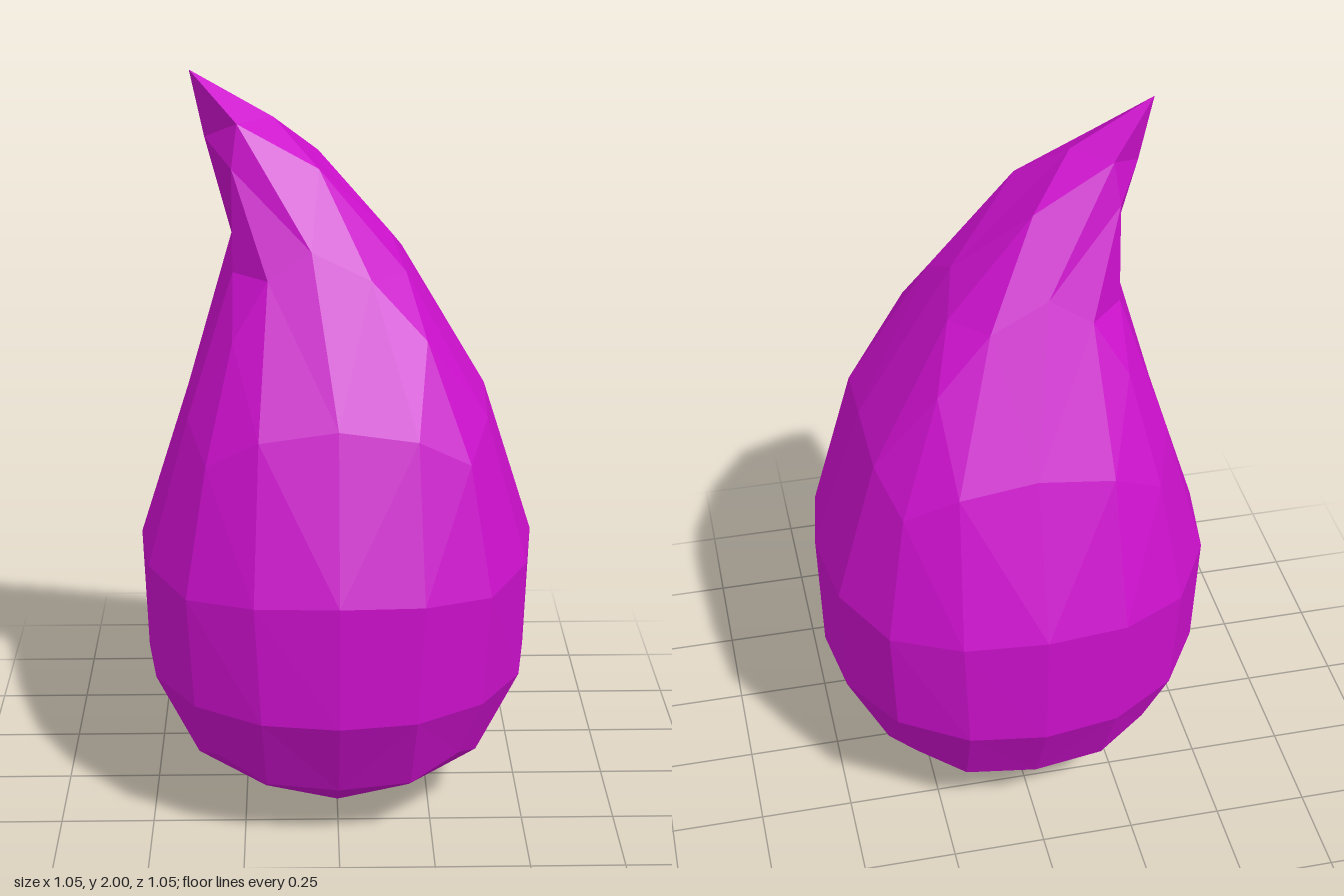
import * as THREE from 'three';

// Each level is a square loop of the grid; entries run mid-side, quarter, corner:
// [distance out, distance sideways, height, shift in x]
const ROWS = [
  [[0.395, 0, 0.17, 0], [0.375, 0.19, 0.18, 0], [0.32, 0.32, 0.24, 0]],
  [[0.515, 0, 0.41, 0], [0.485, 0.2, 0.41, 0], [0.375, 0.375, 0.41, 0]],
  [[0.525, 0, 0.75, 0], [0.495, 0.215, 0.74, 0], [0.39, 0.39, 0.72, 0]],
  [[0.39, 0, 1.17, 0], [0.385, 0.2, 1.14, 0], [0.335, 0.335, 1.06, 0]],
  [[0.205, 0, 1.58, -0.065], [0.22, 0.13, 1.51, -0.045], [0.245, 0.245, 1.36, -0.02]],
];
const BOTTOM = [[0.21, 0, 0.04, 0], [0.195, 0.195, 0.075, 0]];
const TOP = [[0.09, 0, 1.88, -0.25], [0.11, 0.11, 1.77, -0.155]];

// Position of grid point (i, j), both -2..2, on a level
function place(level, i, j) {
  const [out, side, y, shift] = level[Math.min(Math.abs(i), Math.abs(j))];
  const alongX = Math.abs(i) >= Math.abs(j);
  const x = Math.sign(i) * (alongX ? out : side);
  const z = Math.sign(j) * (alongX ? side : out);
  return new THREE.Vector3(x + shift, y, z);
}

// Point on the top or bottom cap
function capPoint(top, i, j) {
  const ring = Math.max(Math.abs(i), Math.abs(j));
  if (ring === 0) return top ? new THREE.Vector3(-0.37, 2, 0) : new THREE.Vector3(0, 0, 0);
  if (ring === 2) return place(ROWS[top ? 4 : 0], i, j);
  const p = place(top ? TOP : BOTTOM, i, j);
  if (top && i === -1 && j === 0) p.set(-0.335, 1.83, 0); // hollow under the bent tip
  return p;
}

export function createModel() {
  const positions = [];
  const tri = (...pts) => pts.forEach((p) => positions.push(p.x, p.y, p.z));
  // Split each quad along its shorter diagonal
  const quad = (a, b, c, d) => {
    if (a.distanceTo(c) <= b.distanceTo(d)) { tri(a, b, c); tri(a, c, d); }
    else { tri(a, b, d); tri(b, c, d); }
  };

  // Sixteen points around the square loop
  const loop = [];
  for (let k = -2; k < 2; k++) loop.push([2, k]);
  for (let k = 2; k > -2; k--) loop.push([k, 2]);
  for (let k = 2; k > -2; k--) loop.push([-2, k]);
  for (let k = -2; k < 2; k++) loop.push([k, -2]);

  // Sides
  for (let r = 0; r < ROWS.length - 1; r++) {
    loop.forEach((p, k) => {
      const q = loop[(k + 1) % loop.length];
      quad(place(ROWS[r], ...p), place(ROWS[r + 1], ...p),
        place(ROWS[r + 1], ...q), place(ROWS[r], ...q));
    });
  }

  // Rounded underside and bent tip
  for (const top of [false, true]) {
    for (let i = -2; i < 2; i++) {
      for (let j = -2; j < 2; j++) {
        const c = [[i, j], [i, j + 1], [i + 1, j + 1], [i + 1, j]].map((p) => capPoint(top, ...p));
        quad(...(top ? c : c.reverse()));
      }
    }
  }

  const geometry = new THREE.BufferGeometry();
  geometry.setAttribute('position', new THREE.Float32BufferAttribute(positions, 3));
  geometry.computeVertexNormals();
  const material = new THREE.MeshStandardMaterial({ color: 0xcc10cc, flatShading: true });
  const drop = new THREE.Mesh(geometry, material);
  drop.name = 'dropBody';

  const group = new THREE.Group();
  group.name = 'bentDrop';
  group.add(drop);
  return group;
}
